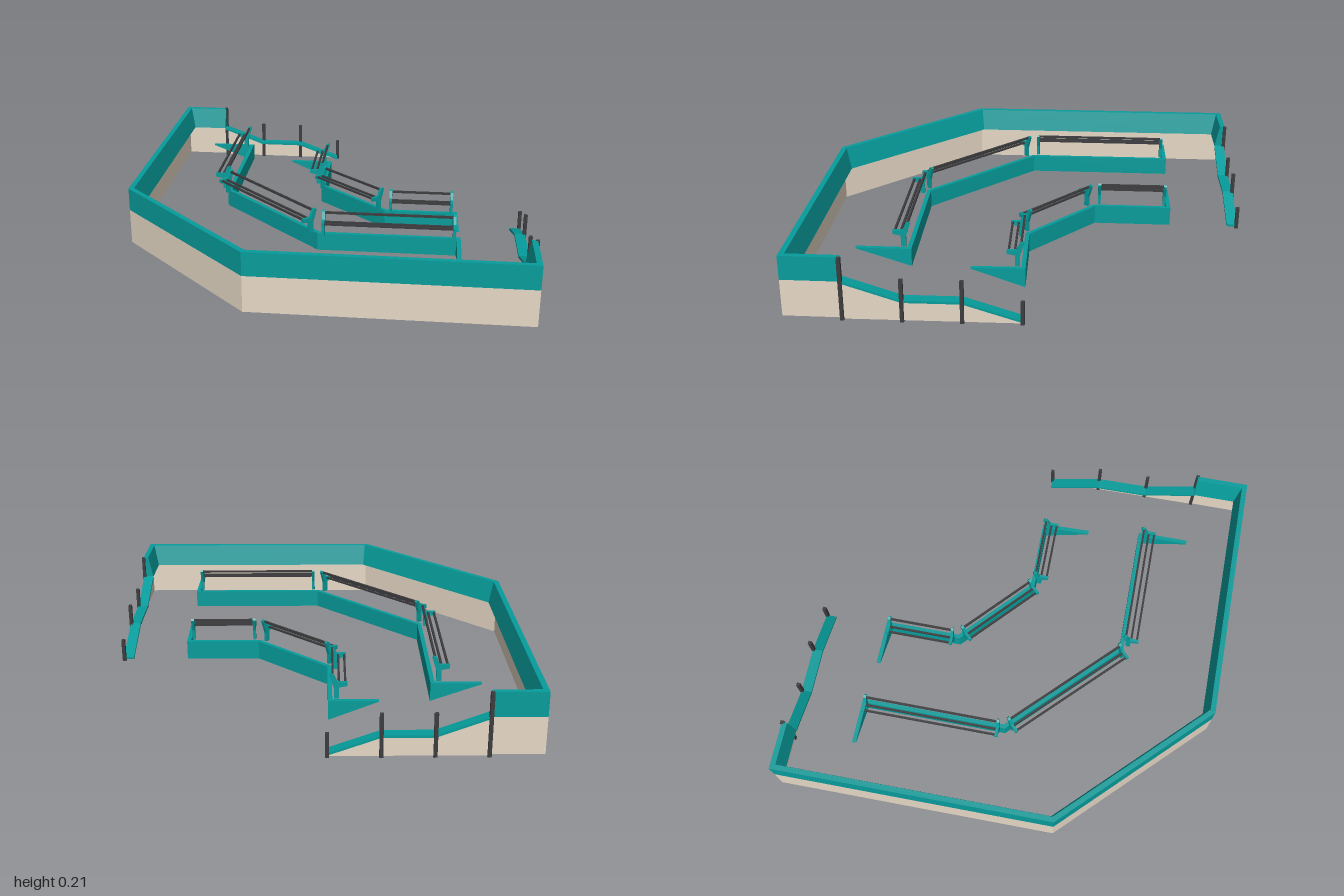
import * as THREE from 'three';

const material = (name, color) => {
  const m = new THREE.MeshStandardMaterial({ color });
  m.name = name;
  return m;
};

// Sweeps a cross-section [inward offset, y] along a mitred plan path [x, z].
// sectionAt(i) returns the section for path point i.
function sweep(name, path, sectionAt, mat) {
  const dirs = path.slice(1).map((p, i) =>
    new THREE.Vector2(p[0] - path[i][0], p[1] - path[i][1]).normalize());
  const pos = [], index = [];
  let n = 0;
  path.forEach((p, i) => {
    const a = dirs[Math.max(i - 1, 0)], b = dirs[Math.min(i, dirs.length - 1)];
    const mx = a.y + b.y, mz = -(a.x + b.x);
    const k = 1 / (1 + a.dot(b));
    const section = sectionAt(i);
    n = section.length;
    for (const [o, y] of section) pos.push(p[0] + mx * k * o, y, p[1] + mz * k * o);
  });
  for (let i = 0; i < path.length - 1; i++) {
    for (let j = 0; j < n; j++) {
      const a = i * n + j, b = i * n + (j + 1) % n;
      index.push(a, b, b + n, a, b + n, a + n);
    }
  }
  const last = (path.length - 1) * n;
  for (let j = 1; j < n - 1; j++) index.push(0, j + 1, j, last, last + j, last + j + 1);
  const indexed = new THREE.BufferGeometry();
  indexed.setAttribute('position', new THREE.Float32BufferAttribute(pos, 3));
  indexed.setIndex(index);
  const geo = indexed.toNonIndexed();
  geo.computeVertexNormals();
  const mesh = new THREE.Mesh(geo, mat);
  mesh.name = name;
  return mesh;
}

const rect = (o0, o1, y0, y1) => [[o0, y0], [o1, y0], [o1, y1], [o0, y1]];

function box(name, w, h, d, x, y, z, mat) {
  const m = new THREE.Mesh(new THREE.BoxGeometry(w, h, d), mat);
  m.name = name;
  m.position.set(x, y, z);
  return m;
}

export function createModel() {
  const teal = material('teal', 0x069c9b);
  const beige = material('beige', 0xe6d8c6);
  const dark = material('charcoal', 0x3c3c3e);
  const root = new THREE.Group();
  root.name = 'terrace';

  // Tall outer wall: thin beige base with a teal band whose inside slopes
  const tall = [[0.227, -0.881], [0.11, -0.998], [-0.577, -0.308],
    [-0.577, 0.364], [0.055, 0.998], [0.185, 0.868]];
  root.add(sweep('wallBase', tall, () => rect(0, 0.004, 0.008, 0.13), beige));
  root.add(sweep('wallBand', tall,
    () => [[0, 0.13], [0.034, 0.13], [0.018, 0.21], [0, 0.21]], teal));

  // Stepped ramp walls at both ends, with teal caps and posts
  const ramps = [
    { from: [0.227, -0.881], to: [0.567, -0.543], flip: true },
    { from: [0.185, 0.868], to: [0.567, 0.478], flip: false },
  ];
  const tops = [0.13, 0.07, 0.07, 0.012];
  const postTops = [0.21, 0.143, 0.143, 0.08];
  for (const { from, to, flip } of ramps) {
    const ramp = new THREE.Group();
    ramp.name = flip ? 'backRamp' : 'frontRamp';
    const path = tops.map((_, i) => [
      THREE.MathUtils.lerp(from[0], to[0], i / 3),
      THREE.MathUtils.lerp(from[1], to[1], i / 3)]);
    const heights = flip ? [...tops].reverse() : tops;
    const line = flip ? [...path].reverse() : path;
    ramp.add(sweep('rampWall', line, i => rect(0, 0.004, 0.004, heights[i] - 0.006), beige));
    ramp.add(sweep('rampCap', line, i => rect(-0.002, 0.034, heights[i] - 0.006, heights[i] + 0.002), teal));
    path.forEach(([x, z], i) => {
      const h = postTops[i];
      const post = box('post', 0.012, h, 0.012, x, h / 2, z, dark);
      post.rotation.y = Math.PI / 4;
      ramp.add(post);
    });
    root.add(ramp);
  }

  // Bench end bracket: leaning upright with a seat arm behind
  const bracketShape = new THREE.Shape([
    [-0.03, 0], [-0.014, 0], [-0.014, 0.035], [0, 0.078], [-0.004, 0.084],
    [-0.014, 0.08], [-0.025, 0.056], [-0.056, 0.056], [-0.056, 0.043], [-0.03, 0.038],
  ].map(p => new THREE.Vector2(...p)));
  const bracketGeo = new THREE.ExtrudeGeometry(bracketShape, { depth: 0.01, bevelEnabled: false });

  // Retaining wall with tapered wings and a rail bench on each inner stretch
  function tier(name, path, y0, y1) {
    const g = new THREE.Group();
    g.name = name;
    const end = path.length - 1;
    g.add(sweep('retainingWall', path,
      i => rect(-0.009, 0.005, i % end ? y0 : y1 - 0.003, y1), teal));
    for (let i = 1; i < end - 1; i++) {
      const a = new THREE.Vector3(path[i][0], y1, path[i][1]);
      const d = new THREE.Vector3(path[i + 1][0], y1, path[i + 1][1]).sub(a);
      const len = d.length();
      d.normalize();
      const bench = new THREE.Group();
      bench.name = 'railBench';
      const inward = new THREE.Vector3(d.z, 0, -d.x);
      bench.applyMatrix4(new THREE.Matrix4()
        .makeBasis(inward, new THREE.Vector3(0, 1, 0), d).setPosition(a));
      const start = 0.012, stop = len - 0.012;
      for (const z of [start, stop - 0.01]) {
        const bracket = new THREE.Mesh(bracketGeo, teal);
        bracket.name = 'bracket';
        bracket.position.z = z;
        bench.add(bracket);
      }
      const mid = len / 2, span = stop - start - 0.004;
      bench.add(box('backRail', 0.007, 0.007, span, -0.01, 0.076, mid, dark));
      for (const x of [-0.03, -0.05]) {
        bench.add(box('seatRail', 0.007, 0.006, span, x, 0.051, mid, dark));
      }
      g.add(bench);
    }
    return g;
  }

  root.add(tier('upperTier', [[0.055, -0.715], [0.165, -0.605], [-0.19, -0.25],
    [-0.185, 0.255], [0.143, 0.58], [0.02, 0.703]], 0.07, 0.13));
  root.add(tier('lowerTier', [[0.28, -0.488], [0.39, -0.378], [0.202, -0.19],
    [0.218, 0.145], [0.397, 0.322], [0.28, 0.445]], 0.004, 0.07));
  return root;
}
